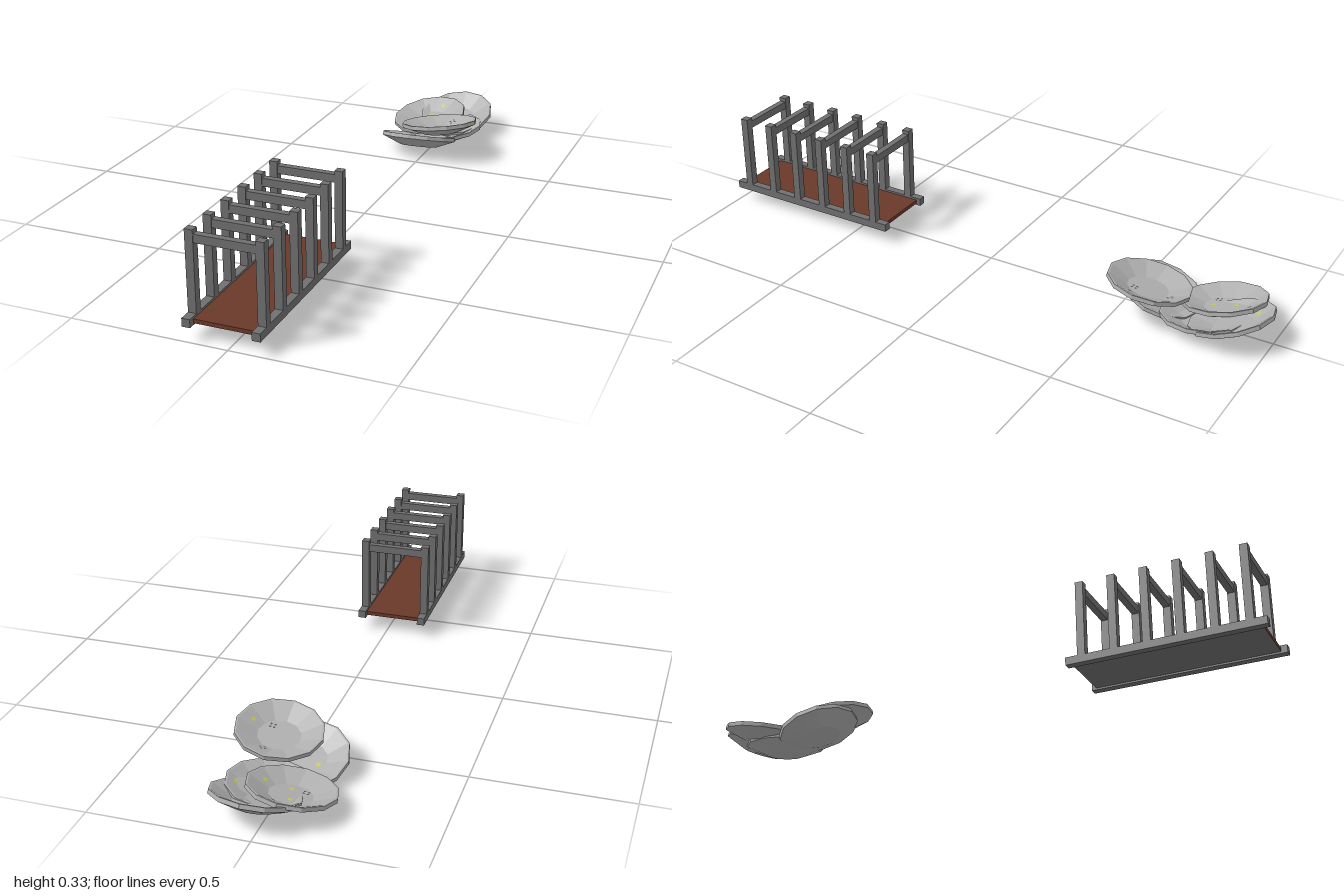
import * as THREE from 'three';

const flat = (name, color) => {
  const m = new THREE.MeshStandardMaterial({ color, flatShading: true });
  m.name = name;
  return m;
};

const SIDES = 12;
const STEP = (Math.PI * 2) / SIDES;
const FLOOR_R = 0.067, FLOOR_Y = -0.028, RIM_R = 0.131;

export function createModel() {
  const frameGrey = flat('frameGrey', 0x6f6f6f);
  const trayBrown = flat('trayBrown', 0x6a3929);
  const plateGrey = flat('plateGrey', 0xb0b0b0);
  const yellow = flat('speckYellow', 0xc8c850);
  const dark = flat('crumbDark', 0x555555);

  const model = new THREE.Group();
  model.name = 'rackAndPlates';

  // Box given by its low and high corners
  const box = (name, parent, mat, [x0, y0, z0], [x1, y1, z1]) => {
    const mesh = new THREE.Mesh(new THREE.BoxGeometry(x1 - x0, y1 - y0, z1 - z0), mat);
    mesh.position.set((x0 + x1) / 2, (y0 + y1) / 2, (z0 + z1) / 2);
    mesh.name = name;
    parent.add(mesh);
  };

  // Rack: tray, two rails and six hoops
  const rack = new THREE.Group();
  rack.name = 'dishRack';
  model.add(rack);
  const sides = [[-0.14, -0.114], [0.075, 0.101]];
  const traySkin = [0, 1, 2, 3, 4, 5].map((i) => (i === 3 ? frameGrey : trayBrown));
  box('tray', rack, traySkin, [-0.115, 0.051, 0.375], [0.076, 0.064, 0.98]);
  for (const [a, b] of sides) box('rail', rack, frameGrey, [a, 0.045, 0.36], [b, 0.071, 1]);
  for (let i = 0; i < 6; i++) {
    const z = 0.413 + i * 0.107;
    const hoop = new THREE.Group();
    hoop.name = 'hoop';
    rack.add(hoop);
    for (const [a, b] of sides)
      box('post', hoop, frameGrey, [a, 0.07, z - 0.013], [b, 0.325, z + 0.013]);
    box('crossbar', hoop, frameGrey, [-0.115, 0.286, z - 0.011], [0.076, 0.312, z + 0.011]);
  }

  // Faceted plate, origin at the centre of its rim
  const plateGeo = new THREE.LatheGeometry(
    [[0, -0.043], [FLOOR_R, -0.043], [0.137, -0.014], [0.137, 0],
      [RIM_R, 0], [FLOOR_R, FLOOR_Y], [0, FLOOR_Y]].map(([x, y]) => new THREE.Vector2(x, y)), SIDES);
  const dotGeo = new THREE.CircleGeometry(1, 8);

  // Thin dot lying on the plate: facet index, radius, sideways shift
  const dot = (parent, mat, facet, r, size, shift = 0) => {
    const slope = (0 - FLOOR_Y) / (RIM_R - FLOOR_R);
    const onWall = r > FLOOR_R * Math.cos(STEP / 2);
    const y = onWall ? FLOOR_Y + (r / Math.cos(STEP / 2) - FLOOR_R) * slope : FLOOR_Y;
    const spoke = new THREE.Group();
    spoke.rotation.y = (facet + 0.5) * STEP;
    const mesh = new THREE.Mesh(dotGeo, mat);
    mesh.name = mat === yellow ? 'speck' : 'crumb';
    mesh.position.set(shift, y + 0.001, r);
    mesh.rotation.x = -Math.PI / 2 - (onWall ? Math.atan(slope / Math.cos(STEP / 2)) : 0);
    mesh.scale.setScalar(size);
    spoke.add(mesh);
    parent.add(spoke);
  };

  // Each plate: rim centre, slope along x and z, specks and crumb crosses [facet, radius]
  const plates = [
    { at: [-0.027, 0.064, -0.615], tilt: [0.02, 0.34], specks: [[8, 0.045]], crumbs: [] },
    { at: [0.02, 0.05, -0.775], tilt: [0.12, -0.04], specks: [[3, 0.1]], crumbs: [] },
    { at: [0.03, 0.074, -0.87], tilt: [0.07, -0.33], specks: [[7, 0.085]], crumbs: [] },
    { at: [-0.058, 0.077, -0.812], tilt: [0.13, -0.18], specks: [[6, 0.034], [0, 0.037], [2, 0.092], [5, 0.092]], crumbs: [[10, 0.05]] },
    { at: [0.053, 0.132, -0.605], tilt: [0.13, 0.15], specks: [[2, 0.095]], crumbs: [[5, 0.085], [1, 0.046]] },
  ];
  const pile = new THREE.Group();
  pile.name = 'platePile';
  model.add(pile);
  const up = new THREE.Vector3(0, 1, 0);
  for (const { at, tilt, specks, crumbs } of plates) {
    const plate = new THREE.Group();
    plate.name = 'plate';
    plate.position.set(...at);
    plate.quaternion.setFromUnitVectors(up, new THREE.Vector3(-tilt[0], 1, -tilt[1]).normalize());
    const dish = new THREE.Mesh(plateGeo, plateGrey);
    dish.name = 'dish';
    plate.add(dish);
    for (const [f, r] of specks) dot(plate, yellow, f, r, 0.008);
    for (const [f, r] of crumbs)
      for (const [dr, dx] of [[0.009, 0], [-0.009, 0], [0, 0.009], [0, -0.009]])
        dot(plate, dark, f, r + dr, 0.004, dx);
    pile.add(plate);
  }
  return model;
}
